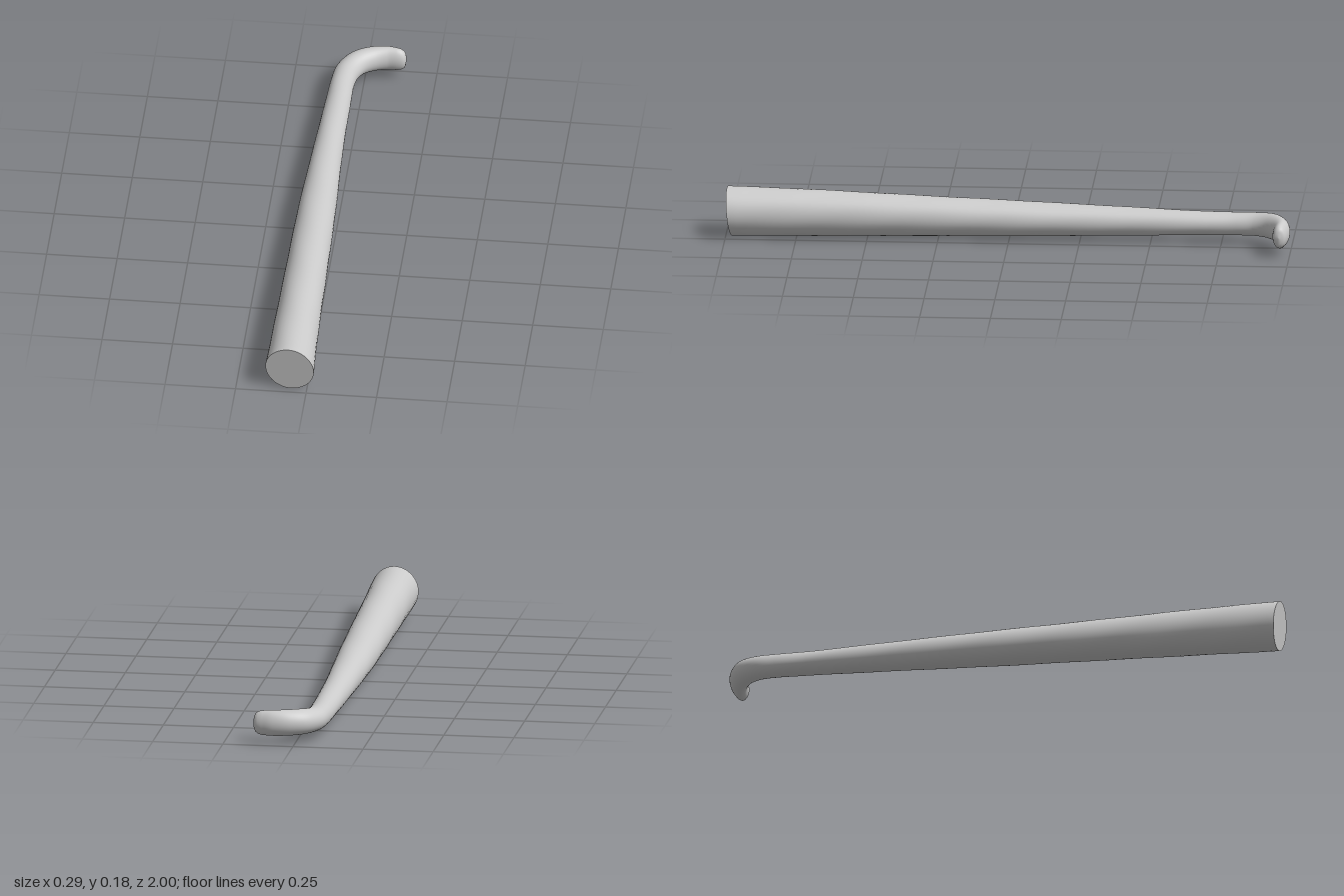
import * as THREE from 'three';

const SIDES = 36;
const RINGS = 110;

// Stations along the shaft: centre x, y, z, half width, half height
const STATIONS = [
  [-0.060, 0.089, 0.985, 0.086, 0.088],
  [-0.064, 0.086, 0.70, 0.080, 0.082],
  [-0.067, 0.081, 0.35, 0.074, 0.073],
  [-0.070, 0.076, 0.0, 0.067, 0.064],
  [-0.071, 0.072, -0.40, 0.053, 0.051],
  [-0.067, 0.070, -0.70, 0.045, 0.042],
  [-0.064, 0.071, -0.81, 0.043, 0.041],
  [-0.053, 0.073, -0.878, 0.044, 0.042],
  [-0.022, 0.076, -0.928, 0.043, 0.045],
  [0.025, 0.077, -0.957, 0.038, 0.046],
  [0.075, 0.077, -0.969, 0.031, 0.046],
  [0.115, 0.076, -0.967, 0.026, 0.044],
];
// Rounded closing of the hook tip: centre x, z and scale of the last section
const TIP = [[0.128, -0.966, 0.92], [0.138, -0.965, 0.76], [0.143, -0.964, 0.5], [0.146, -0.964, 0.01]];

function sections() {
  const path = new THREE.CatmullRomCurve3(STATIONS.map(s => new THREE.Vector3(s[0], s[1], s[2])));
  const sizes = new THREE.CatmullRomCurve3(STATIONS.map(s => new THREE.Vector3(s[3], s[4], 0)));
  const list = [];
  for (let i = 0; i <= RINGS; i++) {
    // sample more densely towards the bend
    const t = i / RINGS;
    const size = sizes.getPoint(t);
    list.push({ c: path.getPoint(t), dir: path.getTangent(t), w: size.x, h: size.y });
  }
  const last = list[RINGS];
  for (const [x, z, k] of TIP) {
    list.push({ c: new THREE.Vector3(x, last.c.y, z), dir: last.dir, w: last.w * k, h: last.h * k });
  }
  return list;
}

function ringPoints(s, first) {
  const side = new THREE.Vector3(-s.dir.z, 0, s.dir.x).normalize();
  const pts = [];
  for (let j = 0; j < SIDES; j++) {
    const a = (j / SIDES) * Math.PI * 2;
    // faint hand-carved unevenness
    const k = 1 + 0.012 * Math.sin(3 * a + s.c.z * 9) * Math.sin(s.c.z * 14 + a);
    const p = s.c.clone().addScaledVector(side, Math.cos(a) * s.w * k);
    p.y += Math.sin(a) * s.h * k;
    // the sawn butt end is slightly slanted
    if (first) p.z += 0.10 * (p.x - s.c.x) + 0.11 * (p.y - s.c.y);
    pts.push(p);
  }
  return pts;
}

function geometryFrom(points, index) {
  const g = new THREE.BufferGeometry().setFromPoints(points);
  g.setIndex(index);
  g.computeVertexNormals();
  return g;
}

export function createModel() {
  const group = new THREE.Group();
  group.name = 'hookedStick';
  const material = new THREE.MeshStandardMaterial({ color: 0xcccccc });

  // Tapered shaft running into the hook
  const rings = sections().map((s, i) => ringPoints(s, i === 0));
  const index = [];
  for (let i = 0; i < rings.length - 1; i++) {
    for (let j = 0; j < SIDES; j++) {
      const n = (j + 1) % SIDES;
      const a = i * SIDES + j, b = i * SIDES + n;
      const c = a + SIDES, d = b + SIDES;
      index.push(a, c, b, b, c, d);
    }
  }
  const shaft = new THREE.Mesh(geometryFrom(rings.flat(), index), material);
  shaft.name = 'shaftAndHook';
  group.add(shaft);

  // Flat butt end with a crisp edge
  const centre = rings[0].reduce((sum, p) => sum.add(p), new THREE.Vector3()).divideScalar(SIDES);
  const fan = [];
  for (let j = 0; j < SIDES; j++) fan.push(SIDES, j, (j + 1) % SIDES);
  const butt = new THREE.Mesh(geometryFrom([...rings[0], centre], fan), material);
  butt.name = 'buttEnd';
  group.add(butt);

  return group;
}
